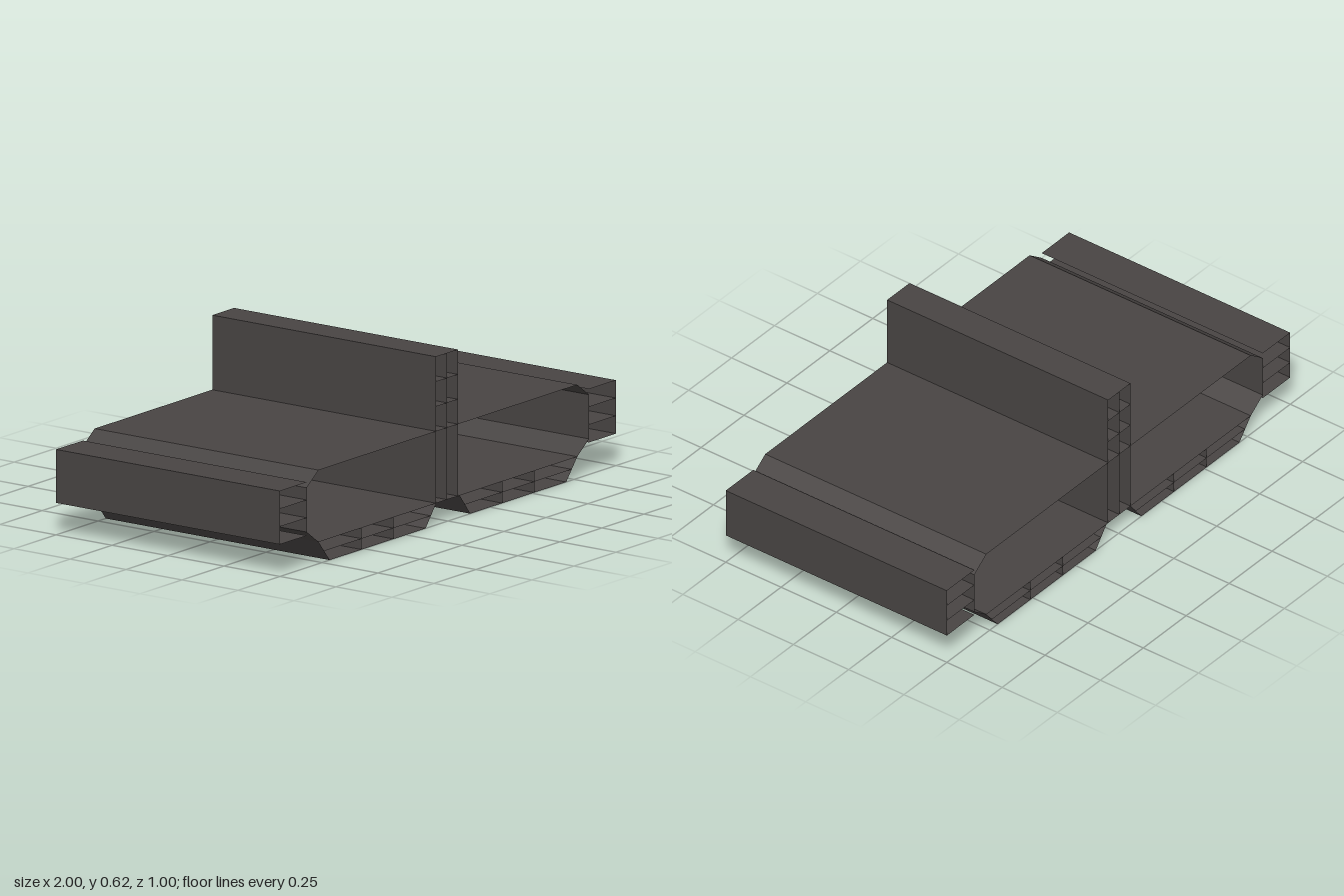
import * as THREE from 'three';

const DEPTH = 1;

const charcoal = new THREE.MeshStandardMaterial({ color: 0x484443, side: THREE.DoubleSide });
charcoal.name = 'charcoal';

// Thin open sheet: an [x, y] outline swept along z, with hard edges
function sheet(name, points) {
  const pos = [];
  const h = DEPTH / 2;
  for (let i = 0; i < points.length - 1; i++) {
    const [ax, ay] = points[i];
    const [bx, by] = points[i + 1];
    pos.push(ax, ay, h, bx, by, h, bx, by, -h);
    pos.push(ax, ay, h, bx, by, -h, ax, ay, -h);
  }
  const geometry = new THREE.BufferGeometry();
  geometry.setAttribute('position', new THREE.Float32BufferAttribute(pos, 3));
  geometry.computeVertexNormals();
  const mesh = new THREE.Mesh(geometry, charcoal);
  mesh.name = name;
  return mesh;
}

// Hollow deck with chamfered edges
function makeDeck() {
  return sheet('deck', [
    [-0.77, 0.08], [0.77, 0.08], [0.84, 0.131], [0.84, 0.294], [0.77, 0.345],
    [-0.77, 0.345], [-0.84, 0.294], [-0.84, 0.131], [-0.77, 0.08],
  ]);
}

// Upright central fin: three walls, a cap and shelves above the deck
function makeFin() {
  const fin = new THREE.Group();
  fin.name = 'centralFin';
  const left = -0.07, right = 0.06, top = 0.62, deckTop = 0.345;
  fin.add(sheet('finShell', [[left, 0.08], [left, top], [right, top], [right, 0.08]]));
  fin.add(sheet('finMiddleWall', [[-0.005, 0.08], [-0.005, top]]));
  for (let i = 1; i < 3; i++) {
    const y = deckTop + (top - deckTop) * i / 3;
    fin.add(sheet('finShelf', [[left, y], [right, y]]));
  }
  return fin;
}

// Side box, open towards the deck wall, with two shelves
function makeSideBox(s) {
  const box = new THREE.Group();
  box.name = s > 0 ? 'leftSideBox' : 'rightSideBox';
  const inner = 0.84 * s, outer = s, low = 0.118, high = 0.315;
  box.add(sheet('sideShell', [[inner, low], [outer, low], [outer, high], [inner, high]]));
  for (let i = 1; i < 3; i++) {
    const y = low + (high - low) * i / 3;
    box.add(sheet('sideShelf', [[inner, y], [outer, y]]));
  }
  return box;
}

// Tapered pod under the deck, with one shelf and two dividers
function makePod(s) {
  const pod = new THREE.Group();
  pod.name = s > 0 ? 'leftPod' : 'rightPod';
  const a = 0.133, b = 0.704;
  pod.add(sheet('podShell', [[0.07 * s, 0.08], [a * s, 0], [b * s, 0], [0.77 * s, 0.08]]));
  pod.add(sheet('podShelf', [[0.1015 * s, 0.04], [0.737 * s, 0.04]]));
  for (let i = 1; i < 3; i++) {
    const x = s * (a + (b - a) * i / 3);
    pod.add(sheet('podDivider', [[x, 0], [x, 0.08]]));
  }
  return pod;
}

export function createModel() {
  const model = new THREE.Group();
  model.name = 'hollowDeck';
  model.add(makeDeck(), makeFin());
  for (const s of [1, -1]) model.add(makeSideBox(s), makePod(s));
  return model;
}
